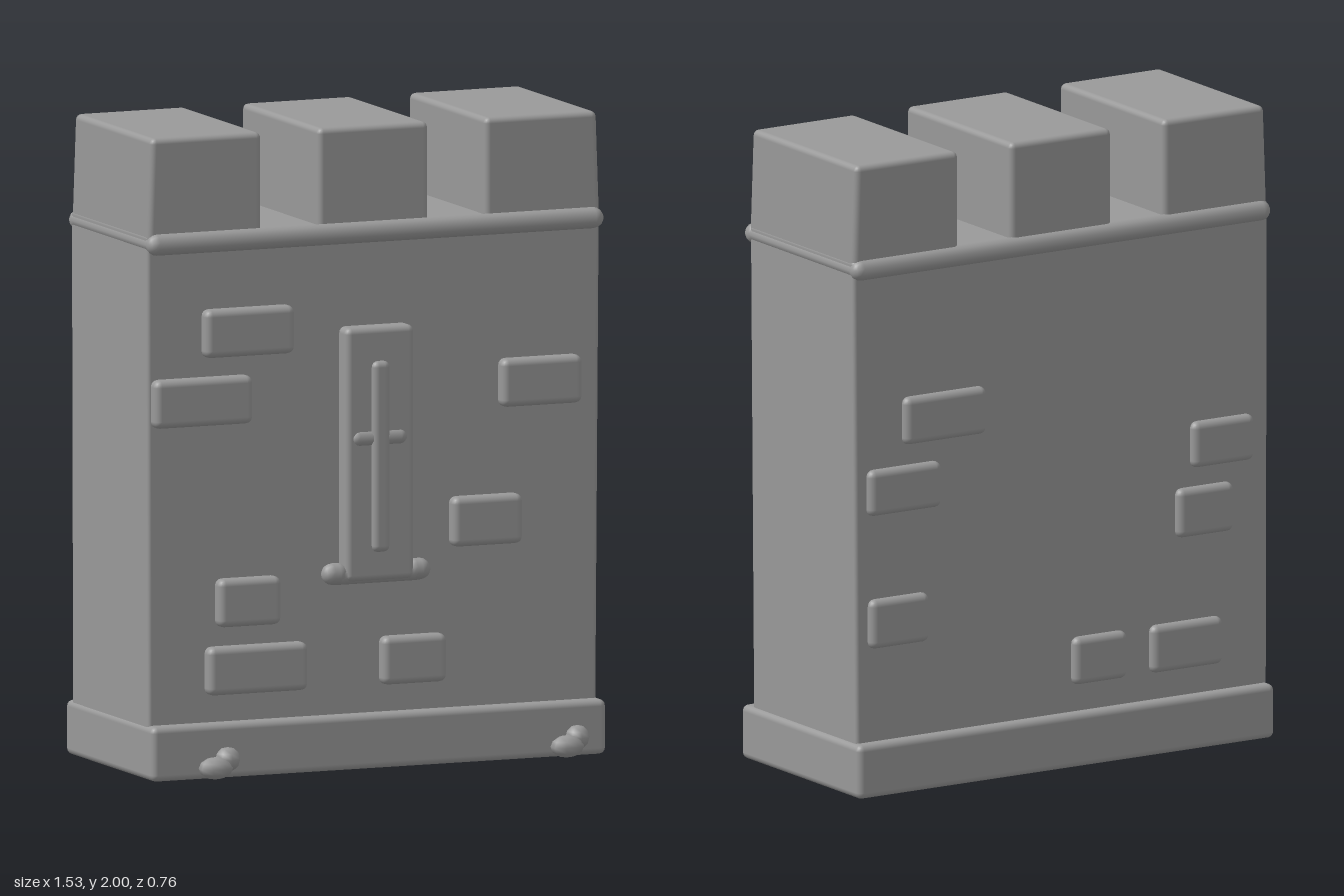
import * as THREE from 'three';
import { RoundedBoxGeometry } from 'three/addons/geometries/RoundedBoxGeometry.js';

export function createModel() {
  const model = new THREE.Group();
  model.name = 'castleWall';
  const stone = new THREE.MeshStandardMaterial({ color: 0x999999 });
  stone.name = 'grey stone';

  const add = (name, geometry, x = 0, y = 0, z = 0) => {
    const mesh = new THREE.Mesh(geometry, stone);
    mesh.name = name;
    mesh.position.set(x, y, z);
    model.add(mesh);
    return mesh;
  };

  // Rounded block given by its extents
  const block = (name, x0, x1, y0, y1, z0, z1, radius) =>
    add(name, new RoundedBoxGeometry(x1 - x0, y1 - y0, z1 - z0, 2, radius),
      (x0 + x1) / 2, (y0 + y1) / 2, (z0 + z1) / 2);

  // Moves vertices on one x side: shift grows towards the top (dir 1) or bottom (dir -1)
  const lean = (mesh, side, dir, amount) => {
    const p = mesh.geometry.attributes.position;
    mesh.geometry.computeBoundingBox();
    const { min, max } = mesh.geometry.boundingBox;
    for (let i = 0; i < p.count; i++) {
      if (p.getX(i) * side <= 0) continue;
      const t = (p.getY(i) - min.y) / (max.y - min.y);
      p.setX(i, p.getX(i) - side * amount * (dir > 0 ? t : 1 - t));
    }
  };

  // Plinth and main wall, the wall slightly narrower at the foot
  block('plinth', -0.765, 0.76, 0.005, 0.175, -0.377, 0.297, 0.02);
  const wall = block('wall', -0.762, 0.757, 0.1, 1.7, -0.34, 0.25, 0.012);
  lean(wall, 1, -1, 0.012);
  lean(wall, -1, -1, 0.004);

  // Battlements, the outer ones tapering on their outer side
  for (const [x0, x1, side] of [[-0.762, -0.38, -1], [-0.19, 0.18, 0], [0.37, 0.757, 1]]) {
    const merlon = block('battlement', x0, x1, 1.66, 2, -0.34, 0.257, 0.018);
    if (side) lean(merlon, side, 1, 0.012);
  }

  // Rounded moulding below the battlements
  const rod = (name, length, radius, axis, x, y, z) => {
    const mesh = add(name, new THREE.CapsuleGeometry(radius, length - 2 * radius, 4, 10), x, y, z);
    if (axis === 'x') mesh.rotation.z = Math.PI / 2;
    if (axis === 'z') mesh.rotation.x = Math.PI / 2;
    return mesh;
  };
  rod('frontMoulding', 1.53, 0.033, 'x', -0.002, 1.67, 0.257);
  rod('backMoulding', 1.53, 0.033, 'x', -0.002, 1.67, -0.334);
  for (const x of [-0.74, 0.735]) rod('sideMoulding', 0.62, 0.026, 'z', x, 1.67, -0.04);

  // Protruding bricks: x0, x1, y0, y1
  const frontBricks = [
    [-0.58, -0.28, 1.31, 1.46], [-0.75, -0.42, 1.1, 1.25], [0.415, 0.685, 1.1, 1.25],
    [0.25, 0.485, 0.675, 0.83], [-0.535, -0.325, 0.47, 0.62],
    [-0.57, -0.235, 0.26, 0.41], [0.015, 0.23, 0.26, 0.41],
  ];
  const backBricks = [
    [0.28, 0.58, 1.1, 1.25], [0.445, 0.71, 0.89, 1.035], [0.49, 0.705, 0.47, 0.625],
    [-0.7, -0.475, 0.89, 1.035], [-0.625, -0.42, 0.675, 0.83],
    [-0.235, -0.04, 0.26, 0.41], [-0.585, -0.325, 0.26, 0.41],
  ];
  for (const b of frontBricks) block('frontBrick', ...b, 0.21, 0.29, 0.022);
  for (const b of backBricks) block('backBrick', ...b, -0.366, -0.29, 0.022);

  // Arrow slit: frame plate, raised cross and sill
  block('slitFrame', -0.118, 0.112, 0.59, 1.38, 0.21, 0.307, 0.02);
  block('slitUpright', -0.034, 0.025, 0.68, 1.275, 0.26, 0.325, 0.02);
  rod('slitCrossbar', 0.19, 0.026, 'x', -0.005, 1.035, 0.292);
  rod('slitSill', 0.33, 0.03, 'x', -0.005, 0.61, 0.272);
  for (const x of [-0.143, 0.133]) rod('sillEnd', 0.085, 0.034, 'x', x, 0.615, 0.272);

  // Loose stones at the foot
  const pebble = (x, y, z, sx, sy, sz, turn) => {
    const mesh = add('footStone', new THREE.SphereGeometry(1, 8, 6), x, y, z);
    mesh.scale.set(sx, sy, sz);
    mesh.rotation.y = turn;
  };
  pebble(-0.565, 0.043, 0.327, 0.062, 0.035, 0.045, 0.4);
  pebble(-0.518, 0.066, 0.31, 0.042, 0.038, 0.038, 0);
  pebble(0.612, 0.043, 0.332, 0.062, 0.035, 0.045, 0.5);
  pebble(0.655, 0.066, 0.31, 0.04, 0.038, 0.038, 0);

  return model;
}
